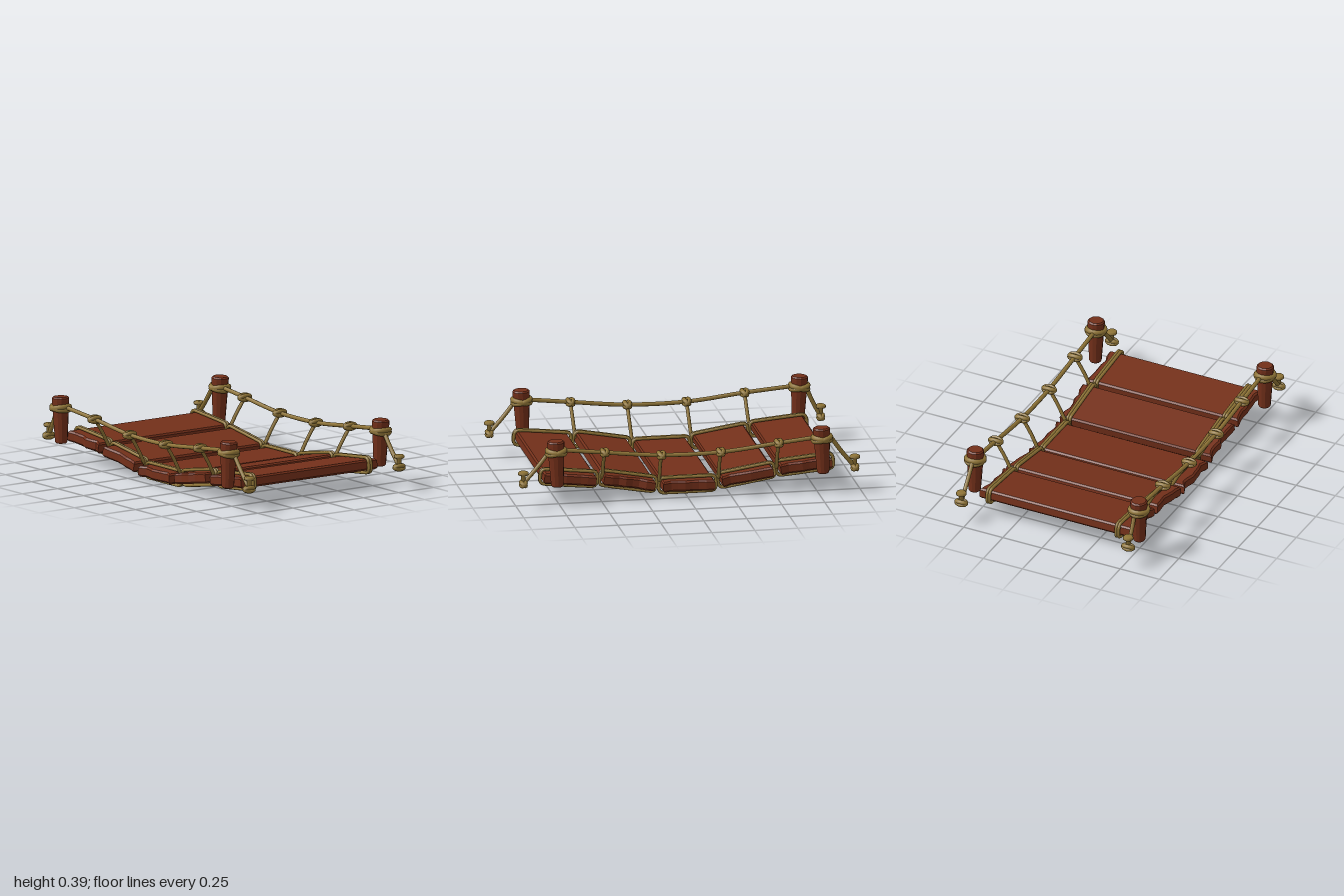
import * as THREE from 'three';

const wood = new THREE.MeshStandardMaterial({ color: 0x74301a, flatShading: true });
const rope = new THREE.MeshStandardMaterial({ color: 0x8f7436 });

function add(parent, name, geometry, material) {
  const mesh = new THREE.Mesh(geometry, material);
  mesh.name = name;
  parent.add(mesh);
  return mesh;
}

const v = (x, y, z) => new THREE.Vector3(x, y, z);

function cord(parent, name, points, radius, closed = false, tension = 0.5, segments = 40) {
  const curve = new THREE.CatmullRomCurve3(points, closed, 'catmullrom', tension);
  return add(parent, name, new THREE.TubeGeometry(curve, segments, radius, 8, closed), rope);
}

// Small repeatable generator for the worn plank ends
function seeded(seed) {
  let s = seed;
  return () => (s = (s * 16807) % 2147483647) / 2147483647;
}

// Bevelled plank with chipped ends, lying flat around its own centre
function plankGeometry(seed) {
  const rand = seeded(seed);
  const half = 0.142, bevel = 0.01, steps = 7;
  const shape = new THREE.Shape();
  for (const side of [1, -1]) {
    for (let i = 0; i <= steps; i++) {
      const chip = i === 0 || i === steps ? 0 : rand() * 0.02;
      const x = side * (0.473 - chip) - 0.007;
      const z = side * (-half + (2 * half * i) / steps);
      if (side === 1 && i === 0) shape.moveTo(x, z);
      else shape.lineTo(x, z);
    }
  }
  shape.closePath();
  const geo = new THREE.ExtrudeGeometry(shape, {
    depth: 0.042, bevelEnabled: true, bevelThickness: bevel, bevelSize: bevel, bevelSegments: 1,
  });
  return geo.translate(0, 0, -0.021).rotateX(Math.PI / 2);
}

// Two strands of rope wrapped lengthwise round a plank
function binding(parent, x) {
  const L = 0.166, H = 0.044, c = 0.022;
  for (const dx of [-0.008, 0.008]) {
    const pts = [
      [L - c, H], [L, H - c], [L, c - H], [L - c, -H],
      [c - L, -H], [-L, c - H], [-L, H - c], [c - L, H],
    ].map(([z, y]) => v(x + dx, y, z));
    cord(parent, 'plankBinding', pts, 0.0095, true, 0.15, 64);
  }
}

// Knot made of crossed loops
function knot(parent, x, y, z, r = 0.026) {
  const group = new THREE.Group();
  group.name = 'knot';
  for (const tilt of [-0.7, 0.7]) {
    const loop = add(group, 'knotLoop', new THREE.TorusGeometry(r, 0.013, 8, 16), rope);
    loop.rotation.x = Math.PI / 2 + tilt;
    loop.scale.set(1.25, 0.8, 1);
  }
  group.position.set(x, y, z);
  parent.add(group);
}

// Tapered post with a chamfered top and crossed rope wraps
function post(parent, x, z, lean) {
  const group = new THREE.Group();
  group.name = 'post';
  const profile = [[0, 0], [0.03, 0], [0.036, 0.008], [0.05, 0.25], [0.05, 0.262], [0.042, 0.27], [0, 0.27]];
  add(group, 'postBody', new THREE.LatheGeometry(profile.map(p => new THREE.Vector2(...p)), 12), wood);
  for (const tilt of [-0.2, 0.2]) {
    const wrap = add(group, 'postWrap', new THREE.TorusGeometry(0.05, 0.016, 8, 24), rope);
    wrap.position.y = 0.205;
    wrap.rotation.x = Math.PI / 2 + tilt;
  }
  group.position.set(x, 0.12, z);
  group.rotation.x = lean;
  parent.add(group);
}

// Ground peg with a flat head and a knot
function peg(parent, x, z) {
  const group = new THREE.Group();
  group.name = 'peg';
  const profile = [[0, 0], [0.012, 0], [0.014, 0.07], [0.03, 0.077], [0.031, 0.088], [0.024, 0.095], [0, 0.095]];
  add(group, 'pegBody', new THREE.LatheGeometry(profile.map(p => new THREE.Vector2(...p)), 10), rope);
  group.position.set(x, 0.12, z);
  parent.add(group);
  knot(parent, x, 0.142, z, 0.022);
}

export function createModel() {
  const model = new THREE.Group();
  model.name = 'ropeBridge';

  // Deck: centre z, centre y, tilt
  const deck = [
    [0.677, 0.132, -0.1], [0.333, 0.095, -0.175], [-0.013, 0.058, 0],
    [-0.355, 0.095, 0.155], [-0.695, 0.14, 0.09],
  ];
  deck.forEach(([z, y, tilt], i) => {
    const section = new THREE.Group();
    section.name = 'deckSection';
    add(section, 'plank', plankGeometry(101 + i * 7919), wood);
    for (const side of [1, -1]) binding(section, side * 0.412);
    section.position.set(0, y, z);
    section.rotation.x = tilt;
    model.add(section);
  });

  // Hangers: z, rail height, deck height
  const hangers = [[0.49, 0.305, 0.12], [0.16, 0.272, 0.085], [-0.185, 0.272, 0.085], [-0.522, 0.308, 0.125]];

  for (const side of [1, -1]) {
    const x = side * 0.533;
    const frontZ = 0.765, backZ = side > 0 ? -0.78 : -0.835;
    post(model, side * 0.54, frontZ, 0.04);
    post(model, side * 0.54, backZ, side > 0 ? 0.04 : -0.03);

    // Sagging hand rope between the posts
    cord(model, 'handRope', [
      v(x, 0.335, frontZ),
      ...hangers.map(([z, y]) => v(x, y, z)),
      v(x, 0.335, backZ),
    ], 0.0125, false, 0.5, 60);

    // Anchor ropes running down to the pegs
    for (const [pz, end] of [[frontZ, 0.962], [backZ, -0.965]]) {
      const s = Math.sign(end);
      cord(model, 'anchorRope', [
        v(x, 0.335, pz + s * 0.04), v(x, 0.24, (pz + end) / 2 + s * 0.015), v(x, 0.145, end),
      ], 0.0125, false, 0.5, 12);
      peg(model, x, end);
    }

    // Hangers tied from the hand rope to the deck bindings
    for (const [z, top, bottom] of hangers) {
      knot(model, x, top, z);
      cord(model, 'hanger', [
        v(x, top, z), v(side * 0.475, (top + bottom) / 2 + 0.005, z - 0.003),
        v(side * 0.425, bottom + 0.01, z - 0.008), v(side * 0.398, bottom, z - 0.008),
      ], 0.0105, false, 0.5, 20);
    }
  }
  return model;
}
